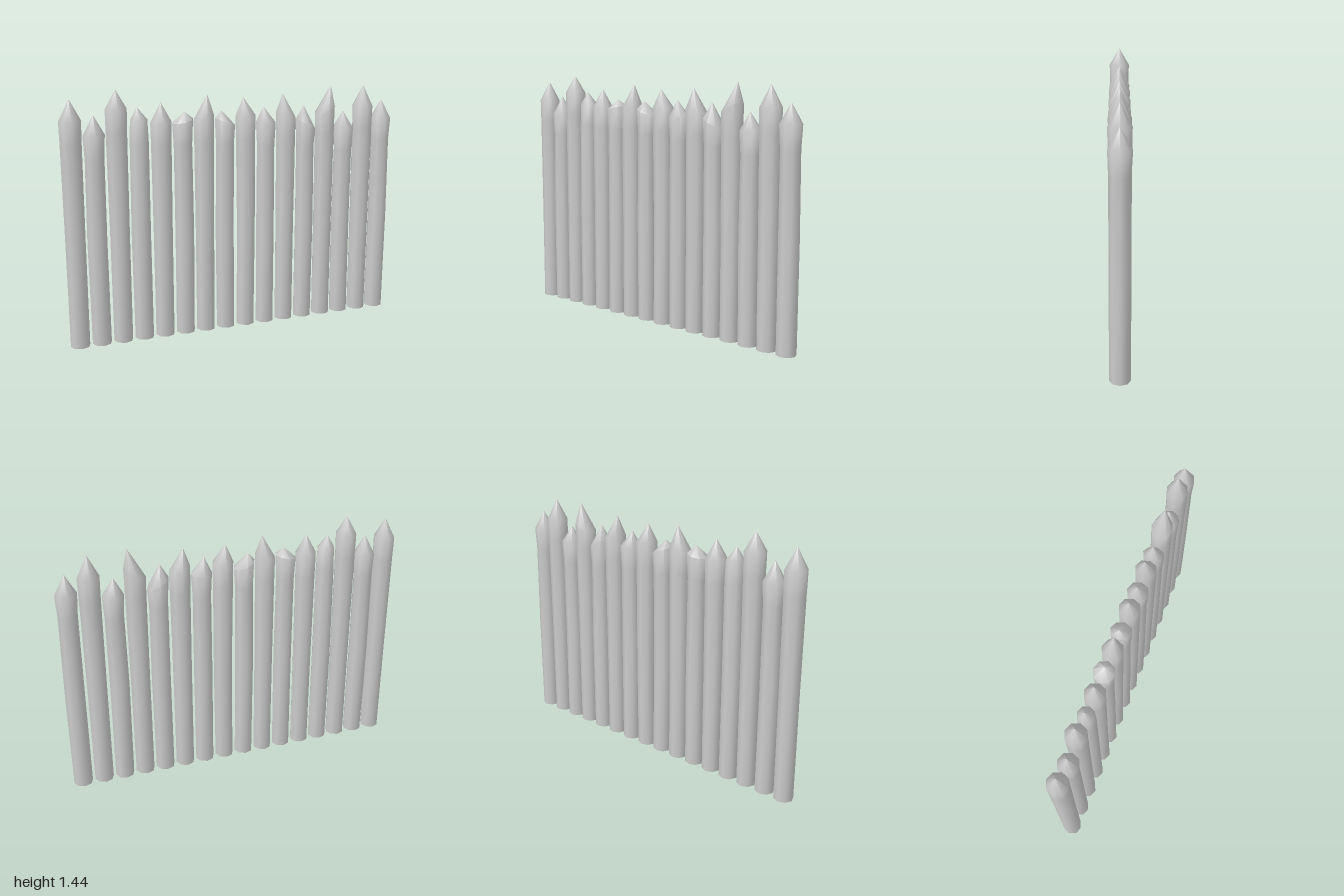
import * as THREE from 'three';
import { toCreasedNormals } from 'three/addons/utils/BufferGeometryUtils.js';

const SIDES = 8, SPACING = 0.125;

// per stake: tip height, tip shift in x, shoulder height, shoulder tilt (right minus left), waist shift, shoulder radius
const STAKES = [
  [1.40, 0, 1.285, 0, 0, 0.061],
  [1.31, 0, 1.20, 0, -0.004, 0.061],
  [1.44, 0, 1.335, 0, 0, 0.061],
  [1.34, -0.01, 1.27, 0, -0.003, 0.049],
  [1.36, 0, 1.25, 0, 0, 0.061],
  [1.30, 0.011, 1.248, 0.025, 0.003, 0.061],
  [1.39, 0.02, 1.26, 0.02, 0, 0.061],
  [1.295, -0.022, 1.232, -0.045, -0.004, 0.061],
  [1.365, -0.015, 1.258, 0, 0.004, 0.061],
  [1.305, -0.016, 1.21, 0, 0, 0.061],
  [1.375, -0.022, 1.25, -0.03, 0, 0.061],
  [1.30, -0.014, 1.19, -0.06, 0.003, 0.061],
  [1.41, 0.036, 1.27, 0.06, 0, 0.061],
  [1.255, -0.006, 1.155, 0, -0.004, 0.061],
  [1.40, 0, 1.28, 0, 0, 0.061],
  [1.31, 0, 1.20, 0, 0.002, 0.061],
];

// A closed cylinder whose rings are reshaped into base, waist, neck, shoulder and tip
function stakeGeometry([tipY, tipX, shoulderY, tilt, waistX, radius], necked) {
  const rings = [
    { y: 0, r: 0.055, x: 0 },
    { y: 0.6, r: 0.056, x: waistX },
    { y: shoulderY - 0.13, r: necked ? 0.054 : 0.059, x: 0 },
    { y: shoulderY, r: radius, x: 0, tilt },
    { y: tipY, r: 0, x: tipX },
  ];
  const geo = new THREE.CylinderGeometry(0, 1, 4, SIDES, 4);
  const pos = geo.attributes.position;
  for (let i = 0; i < pos.count; i++) {
    const row = Math.round(pos.getY(i) + 2);
    const ring = rings[row];
    // unit direction around the stake (zero at the cap centre and tip)
    const v = new THREE.Vector2(pos.getX(i), pos.getZ(i));
    if (v.length() > 1e-6) v.normalize();
    else v.set(0, 0);
    pos.setXYZ(i, ring.x + v.x * ring.r, ring.y + v.x * (ring.tilt || 0) / 2, v.y * ring.r);
  }
  return toCreasedNormals(geo, 1.0);
}

export function createModel() {
  const fence = new THREE.Group();
  fence.name = 'palisade';
  const material = new THREE.MeshStandardMaterial({ color: 0xcccccc });

  // Row of pointed stakes
  STAKES.forEach((stake, i) => {
    const mesh = new THREE.Mesh(stakeGeometry(stake, i % 2 === 1), material);
    mesh.name = `stake${i + 1}`;
    mesh.position.x = (i - (STAKES.length - 1) / 2) * SPACING;
    fence.add(mesh);
  });
  return fence;
}
